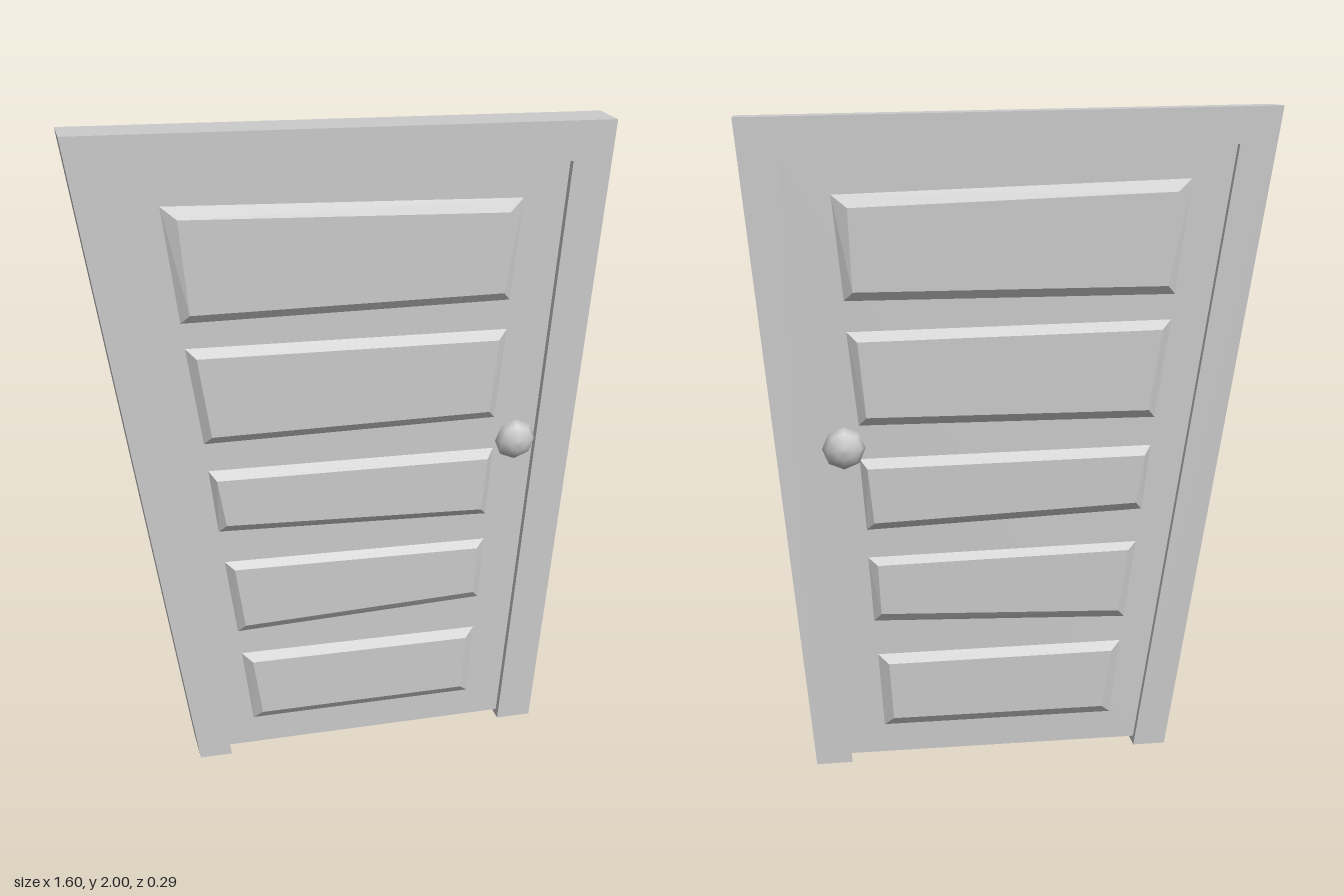
import * as THREE from 'three';
import { ConvexGeometry } from 'three/addons/geometries/ConvexGeometry.js';

const FRAME_Z = 0.068; // half thickness of the frame
const DOOR_Z = 0.046;  // half thickness of the door leaf
const PANEL_Z = 0.066; // raised face of the panels

const flat = new THREE.MeshStandardMaterial({ color: 0xcccccc, flatShading: true });
const smooth = new THREE.MeshStandardMaterial({ color: 0xcccccc });

function addMesh(parent, name, geometry, material = flat) {
  const mesh = new THREE.Mesh(geometry, material);
  mesh.name = name;
  parent.add(mesh);
  return mesh;
}

// Outline in x, y extruded evenly about z = 0
function slab(points, halfDepth) {
  const shape = new THREE.Shape(points.map(([x, y]) => new THREE.Vector2(x, y)));
  return new THREE.ExtrudeGeometry(shape, { depth: halfDepth * 2, bevelEnabled: false })
    .translate(0, 0, -halfDepth);
}

// Raised panel with sloping borders on both door faces.
// Corners run top left, top right, bottom right, bottom left.
function raisedPanel(corners, insets) {
  const signs = [[1, -1], [-1, -1], [-1, 1], [1, 1]];
  const points = [];
  for (const side of [-1, 1]) {
    corners.forEach(([x, y], i) => {
      const [dx, dy] = insets[i < 2 ? 0 : 1];
      points.push(new THREE.Vector3(x, y, side * DOOR_Z));
      points.push(new THREE.Vector3(x + signs[i][0] * dx, y + signs[i][1] * dy, side * PANEL_Z));
    });
  }
  return new ConvexGeometry(points);
}

export function createModel() {
  const model = new THREE.Group();
  model.name = 'crookedDoor';

  // Crooked frame, open at the bottom
  addMesh(model, 'frame', slab([
    [-0.485, 0], [-0.385, 0], [-0.67, 1.89], [0.67, 1.86],
    [0.51, 0], [0.62, 0], [0.8, 1.975], [-0.8, 2],
  ], FRAME_Z));

  // Door leaf, set back from the frame on both sides
  addMesh(model, 'doorLeaf', slab([
    [-0.388, 0.02], [0.512, 0.02], [0.67, 1.86], [-0.67, 1.89],
  ], DOOR_Z));

  // Five uneven panels: corners, then top and bottom insets
  const panels = [
    [[[-0.535, 1.79], [0.53, 1.755], [0.5, 1.447], [-0.49, 1.447]], [[0.045, 0.037], [0.025, 0.027]]],
    [[[-0.48, 1.37], [0.495, 1.355], [0.465, 1.073], [-0.435, 1.07]], [[0.03, 0.028], [0.022, 0.026]]],
    [[[-0.425, 0.982], [0.465, 0.97], [0.448, 0.748], [-0.4, 0.78]], [[0.022, 0.028], [0.022, 0.025]]],
    [[[-0.385, 0.675], [0.446, 0.66], [0.432, 0.456], [-0.35, 0.43]], [[0.028, 0.022], [0.022, 0.027]]],
    [[[-0.34, 0.35], [0.422, 0.345], [0.406, 0.111], [-0.308, 0.111]], [[0.032, 0.027], [0.028, 0.027]]],
  ];
  panels.forEach(([corners, insets], i) =>
    addMesh(model, `panel${i + 1}`, raisedPanel(corners, insets)));

  // Eight-sided knobs, front and back
  const profile = [
    [0.03, 0.04], [0.03, 0.076], [0.046, 0.082], [0.064, 0.108],
    [0.05, 0.129], [0.027, 0.142], [0, 0.146],
  ].map(([r, h]) => new THREE.Vector2(r, h));
  const knob = new THREE.LatheGeometry(profile, 8);
  for (const [name, side] of [['frontKnob', 1], ['backKnob', -1]]) {
    const mesh = addMesh(model, name, knob, smooth);
    mesh.rotation.x = side * Math.PI / 2;
    mesh.position.set(0.513, 1.02, 0);
  }

  return model;
}
